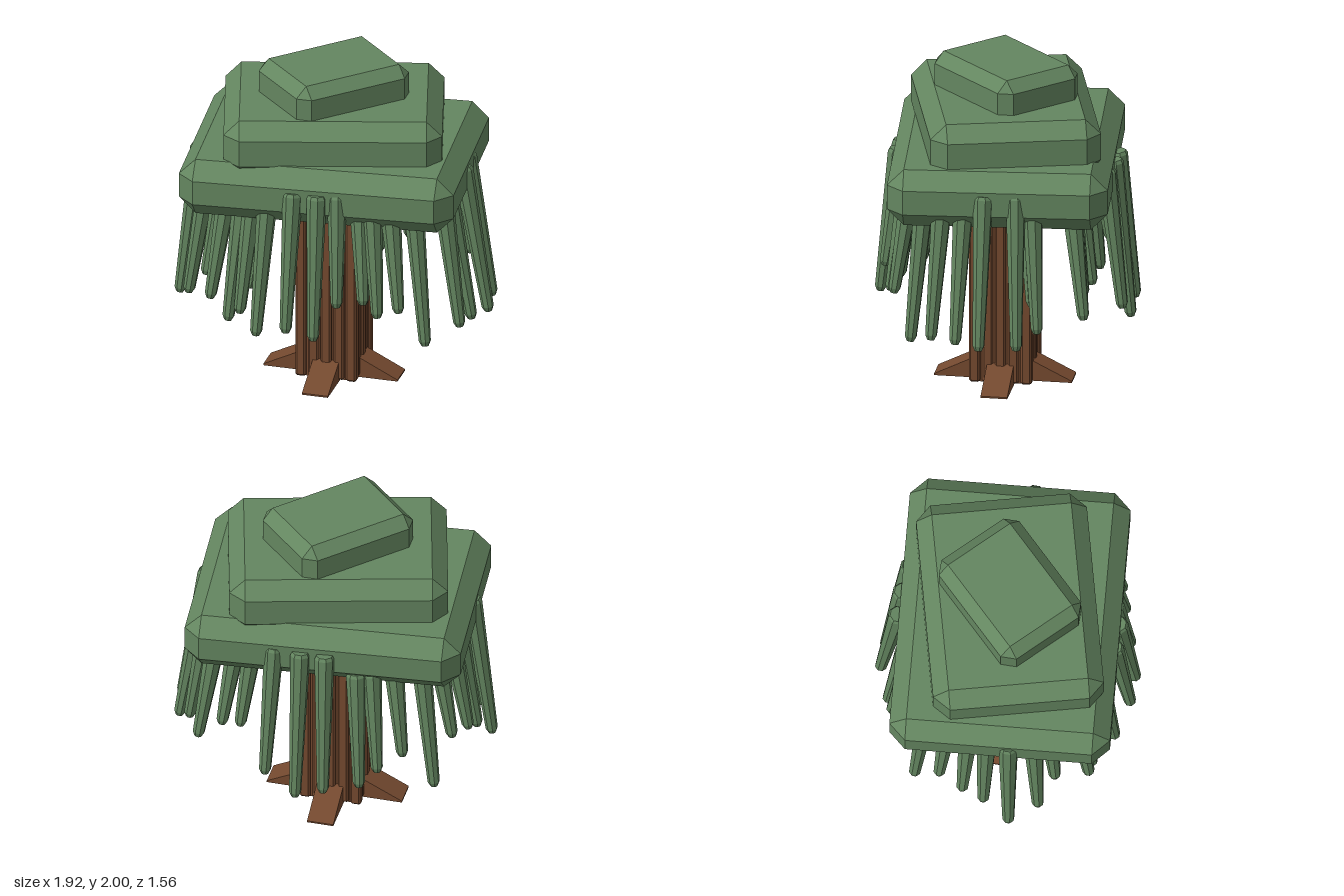
import * as THREE from 'three';
import { ConvexGeometry } from 'three/addons/geometries/ConvexGeometry.js';

const leaf = new THREE.MeshStandardMaterial({ color: 0x648660, flatShading: true });
const bark = new THREE.MeshStandardMaterial({ color: 0x74492f, flatShading: true });

// Box with every edge cut at 45 degrees
function chamferBox(w, h, d, b) {
  const pts = [];
  const x = w / 2, y = h / 2, z = d / 2;
  for (const sx of [-1, 1]) for (const sy of [-1, 1]) for (const sz of [-1, 1]) {
    pts.push(new THREE.Vector3(sx * x, sy * (y - b), sz * (z - b)));
    pts.push(new THREE.Vector3(sx * (x - b), sy * y, sz * (z - b)));
    pts.push(new THREE.Vector3(sx * (x - b), sy * (y - b), sz * z));
  }
  return new ConvexGeometry(pts);
}

function add(parent, name, geometry, material) {
  const mesh = new THREE.Mesh(geometry, material);
  mesh.name = name;
  parent.add(mesh);
  return mesh;
}

// Tapered strand with a blunt tip, hanging from top to tip
function vine(parent, tip, top) {
  const dir = top.clone().sub(tip), len = dir.length();
  const profile = [[0, 0], [0.022, 0], [0.036, 0.03], [0.06, len - 0.02], [0.05, len], [0, len]]
    .map(p => new THREE.Vector2(p[0], p[1]));
  const mesh = add(parent, 'vine', new THREE.LatheGeometry(profile, 8, Math.PI / 8), leaf);
  mesh.position.copy(tip);
  mesh.quaternion.setFromUnitVectors(new THREE.Vector3(0, 1, 0), dir.normalize());
}

export function createModel() {
  const model = new THREE.Group();
  model.name = 'willowTree';

  // Three stacked, twisted canopy blocks: name, w, h, d, chamfer, top y, turn in degrees
  const layers = [
    ['lowerCanopy', 1.655, 0.35, 1.31, 0.1, 1.55, 5.2],
    ['middleCanopy', 1.295, 0.35, 1.015, 0.093, 1.8, 15.2],
    ['upperCanopy', 0.765, 0.32, 0.585, 0.067, 2.0, 45.5],
  ];
  for (const [name, w, h, d, b, top, turn] of layers) {
    const mesh = add(model, name, chamferBox(w, h, d, b), leaf);
    mesh.position.set(-0.025, top - h / 2, 0.01);
    mesh.rotation.y = THREE.MathUtils.degToRad(turn);
  }

  // Hanging vines, listed by tip position
  const tips = [
    // front
    [-0.62, 0.64, 0.59], [-0.51, 0.51, 0.59], [-0.43, 0.58, 0.62], [-0.31, 0.48, 0.69],
    [-0.38, 0.73, 0.57], [-0.11, 0.55, 0.75], [0.06, 0.52, 0.75], [0.19, 0.73, 0.7],
    [0.33, 0.73, 0.62], [0.42, 0.66, 0.63], [0.54, 0.69, 0.59],
    // left side
    [0.67, 0.44, 0.47], [0.84, 0.52, 0.32], [0.87, 0.51, 0.17], [0.93, 0.5, 0.02],
    [0.89, 0.5, -0.2], [0.8, 0.58, -0.31], [0.74, 0.73, -0.27],
    // back
    [0.68, 0.64, -0.57], [0.54, 0.74, -0.55], [0.42, 0.77, -0.58], [0.23, 0.56, -0.73],
    [0.04, 0.44, -0.75], [-0.13, 0.5, -0.75], [-0.33, 0.52, -0.67], [-0.43, 0.62, -0.63],
    [-0.56, 0.69, -0.53], [-0.73, 0.44, -0.44],
    // right side
    [-0.8, 0.7, -0.28], [-0.86, 0.67, -0.13], [-0.88, 0.6, 0], [-0.93, 0.45, 0.16],
    [-0.83, 0.53, 0.32], [-0.7, 0.7, 0.4],
  ];
  const vines = new THREE.Group();
  vines.name = 'vines';
  model.add(vines);
  for (const [x, y, z] of tips) {
    const outer = Math.abs(x) > 0.88 || Math.abs(z) > 0.69;
    vine(vines, new THREE.Vector3(x, y, z),
      new THREE.Vector3(x * (x > 0.85 ? 0.83 : 0.87), outer ? 1.42 : 1.28, z * 0.86));
  }

  // Square trunk: solid core edged by upright posts that make the bark ridges
  const trunk = new THREE.Group();
  trunk.name = 'trunk';
  trunk.position.set(-0.022, 0, 0.015);
  model.add(trunk);
  add(trunk, 'trunkCore', new THREE.BoxGeometry(0.33, 1.11, 0.33), bark).position.y = 0.565;
  for (let face = 0; face < 4; face++) {
    const panel = new THREE.Group();
    panel.name = 'barkFace';
    panel.rotation.y = face * Math.PI / 2;
    trunk.add(panel);
    for (let i = 0; i < 4; i++) {
      const h = 1.11 + 0.025 * ((i + face) % 3);
      const post = add(panel, 'barkRidge', chamferBox(0.066, h, 0.066, 0.012), bark);
      post.position.set(-0.155 + i * 0.0775, 0.01 + h / 2, i % 2 ? 0.148 : 0.155);
    }
  }

  // Four wedge roots sloping down to the ground
  const side = new THREE.Shape([[0, 0], [0.413, 0], [0.413, 0.01], [0.19, 0.12], [0.17, 0.13], [0, 0.13]]
    .map(p => new THREE.Vector2(p[0], p[1])));
  const wedge = new THREE.ExtrudeGeometry(side, { depth: 0.16, bevelEnabled: false });
  wedge.translate(0, 0, -0.08);
  for (let i = 0; i < 4; i++) add(trunk, 'root', wedge, bark).rotation.y = i * Math.PI / 2;

  return model;
}
